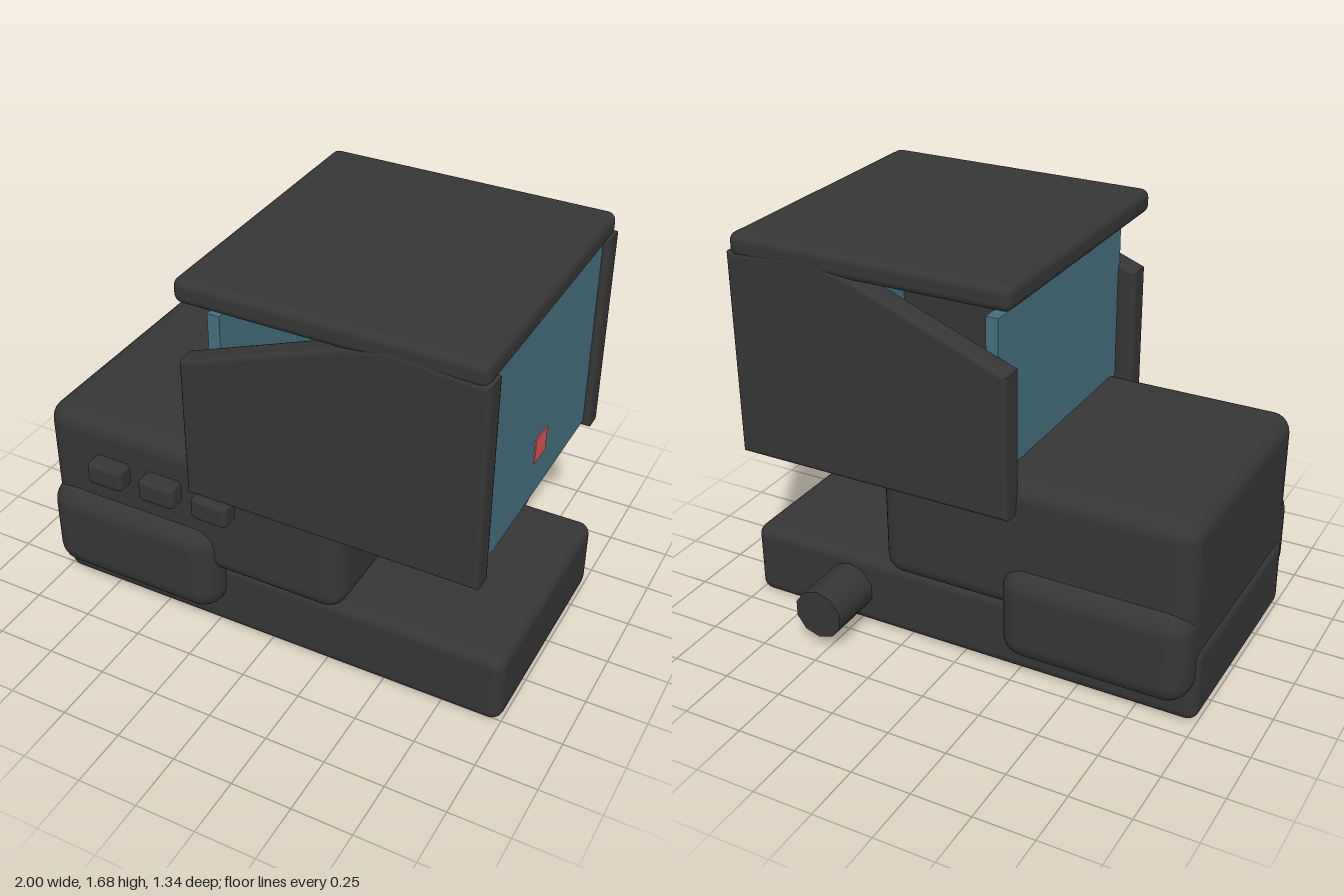
import * as THREE from 'three';
import { RoundedBoxGeometry } from 'three/addons/geometries/RoundedBoxGeometry.js';

const material = (name, color) => {
  const m = new THREE.MeshStandardMaterial({ color });
  m.name = name;
  return m;
};

export function createModel() {
  const group = new THREE.Group();
  const black = material('matte black', 0x363636);
  const blue = material('lens blue', 0x44707f);
  const red = material('reticle red', 0xe05557);

  const add = (name, geometry, mat) => {
    const mesh = new THREE.Mesh(geometry, mat);
    mesh.name = name;
    group.add(mesh);
    return mesh;
  };
  // Box from its extents, rounded when a radius is given
  const box = (name, [x0, x1], [y0, y1], [z0, z1], radius, mat = black) => {
    const size = [x1 - x0, y1 - y0, z1 - z0];
    const geometry = radius
      ? new RoundedBoxGeometry(...size, 3, radius)
      : new THREE.BoxGeometry(...size);
    const mesh = add(name, geometry, mat);
    mesh.position.set((x0 + x1) / 2, (y0 + y1) / 2, (z0 + z1) / 2);
    return mesh;
  };

  // Mounting base, housing and the wider battery compartment through it
  box('base', [-1, 1], [0, 0.32], [-0.43, 0.53], 0.05);
  box('housing', [-0.985, 0.34], [0.31, 0.88], [-0.48, 0.585], 0.08);
  box('batteryCompartment', [-0.985, -0.2], [0.11, 0.52], [-0.535, 0.64], 0.1);

  // Control buttons on the front side
  for (let i = 0; i < 3; i++) {
    const x = -0.75 + i * 0.24;
    box('button' + (i + 1), [x, x + 0.16], [0.62, 0.72], [0.55, 0.655], 0.02);
  }

  // Hood: two sloped side plates under a roof
  const outline = new THREE.Shape([
    [-0.25, 0.77], [0.91, 0.77], [0.91, 1.585], [0.56, 1.615], [0.38, 1.57], [-0.25, 1.33],
  ].map(([x, y]) => new THREE.Vector2(x, y)));
  const plate = new THREE.ExtrudeGeometry(outline, {
    depth: 0.06, bevelThickness: 0.02, bevelSize: 0.018, bevelSegments: 3,
  });
  add('frontSidePlate', plate, black).position.z = 0.587;
  add('backSidePlate', plate, black).position.z = -0.535;
  box('roof', [-0.28, 0.915], [1.58, 1.68], [-0.555, 0.665], 0.035);

  // Lenses at both ends and the aiming mark
  box('objectiveLens', [0.85, 0.9], [0.78, 1.6], [-0.47, 0.58], 0, blue);
  box('eyeLens', [-0.19, -0.14], [0.78, 1.52], [-0.47, 0.58], 0, blue);
  box('aimingMark', [0.899, 0.905], [0.935, 1.04], [0, 0.11], 0, red);

  // Clamp knob on the back side
  const knob = new THREE.CylinderGeometry(0.107, 0.107, 0.28, 10).rotateX(-Math.PI / 2);
  add('clampKnob', knob, black).position.set(0.53, 0.162, -0.53);

  return group;
}
